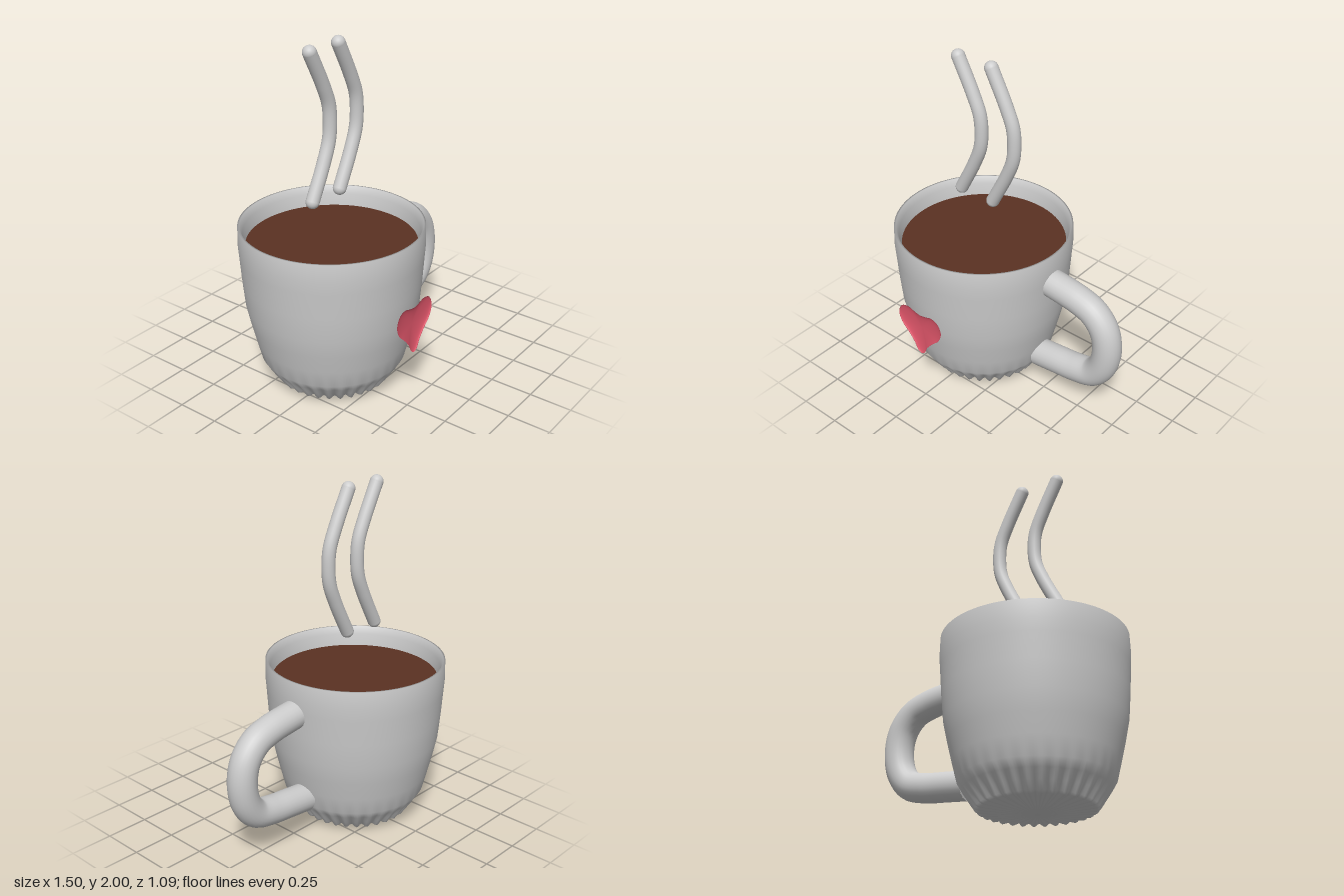
import * as THREE from 'three';
import { mergeVertices } from 'three/addons/utils/BufferGeometryUtils.js';

const CX = -0.235, CZ = -0.03;
const v2 = (p) => new THREE.Vector2(...p);

function addMesh(parent, name, geometry, color = 0xcccccc) {
  const mesh = new THREE.Mesh(geometry, new THREE.MeshStandardMaterial({ color }));
  mesh.name = name;
  parent.add(mesh);
  return mesh;
}

// Merge seams and recompute so the surface shades smoothly
function smooth(geometry) {
  geometry.deleteAttribute('normal');
  geometry.deleteAttribute('uv');
  const merged = mergeVertices(geometry, 1e-5);
  merged.computeVertexNormals();
  return merged;
}

// Cup wall with shallow flutes around the foot
function cupGeometry() {
  const profile = [
    [0, 0.005], [0.16, 0.014], [0.305, 0.026], [0.322, 0.036], [0.355, 0.085], [0.388, 0.135],
    [0.414, 0.18], [0.44, 0.285], [0.466, 0.395], [0.489, 0.505], [0.502, 0.65], [0.512, 0.8],
    [0.517, 0.87], [0.514, 0.975], [0.503, 0.975], [0.488, 0.93], [0.476, 0.86], [0.47, 0.8],
  ].map(v2);
  const geo = new THREE.LatheGeometry(profile, 192);
  const pos = geo.attributes.position;
  for (let i = 0; i < pos.count; i++) {
    const x = pos.getX(i), y = pos.getY(i), z = pos.getZ(i);
    const r = Math.hypot(x, z);
    if (y > 0.17 || r < 0.01) continue;
    const wave = 0.5 - 0.5 * Math.cos(32 * Math.atan2(x, z));
    const depth = 0.02 * Math.min(1, (0.18 - y) / 0.08) * Math.min(1, r / 0.3);
    const k = 1 - (depth * wave) / r;
    pos.setXYZ(i, x * k, y + (y < 0.05 ? 0.012 * wave * r / 0.3 : 0), z * k);
  }
  return smooth(geo);
}

// Tube through points in the XY plane, with rounded or flat ends
function addTube(parent, name, points, radius, round) {
  const curve = new THREE.CatmullRomCurve3(points.map(([x, y]) => new THREE.Vector3(x, y, CZ)), false, 'centripetal');
  const group = new THREE.Group();
  group.name = name;
  parent.add(group);
  addMesh(group, name + 'Body', new THREE.TubeGeometry(curve, 64, radius, 24));
  for (const t of [0, 1]) {
    const cap = addMesh(group, name + 'End',
      round ? new THREE.SphereGeometry(radius, 24, 16) : new THREE.CircleGeometry(radius, 24));
    cap.position.copy(curve.getPointAt(t));
    const outward = curve.getTangentAt(t).multiplyScalar(t ? 1 : -1);
    cap.quaternion.setFromUnitVectors(new THREE.Vector3(0, 0, 1), outward);
  }
}

// Puffy heart: shrinking copies of the outline, domed to both sides
function heartGeometry() {
  const half = [
    [0.045, 0.108], [0.09, 0.12], [0.135, 0.105], [0.161, 0.05], [0.143, -0.01],
    [0.085, -0.07], [0.045, -0.12], [0.023, -0.163],
  ];
  const mirrored = half.map(([x, y]) => [-x, y]).reverse();
  const outline = new THREE.CatmullRomCurve3(
    [[0, 0.1], ...half, [0, -0.176], ...mirrored].map(([x, y]) => new THREE.Vector3(x, y, 0)), true);
  const N = 72, RINGS = 24, verts = [], index = [];
  const edge = outline.getPoints(N);
  for (let j = 0; j <= RINGS; j++) {
    const a = (j / RINGS) * Math.PI;
    for (let i = 0; i < N; i++) {
      verts.push(edge[i].x * Math.sin(a), edge[i].y * Math.sin(a), 0.018 * Math.cos(a));
      if (j === RINGS) continue;
      const p = j * N + i, q = j * N + (i + 1) % N;
      index.push(p, q, p + N, q, q + N, p + N);
    }
  }
  // The outline runs clockwise, so flip each face to point outward
  for (let k = 0; k < index.length; k += 3) [index[k], index[k + 1]] = [index[k + 1], index[k]];
  const geo = new THREE.BufferGeometry();
  geo.setAttribute('position', new THREE.Float32BufferAttribute(verts, 3));
  geo.setIndex(index);
  const merged = mergeVertices(geo, 1e-5);
  merged.computeVertexNormals();
  return merged;
}

export function createModel() {
  const model = new THREE.Group();
  model.name = 'steamingMug';

  const cup = addMesh(model, 'cup', cupGeometry());
  cup.material.side = THREE.DoubleSide;
  cup.position.set(CX, 0, CZ);

  // Drink surface
  const coffee = addMesh(model, 'coffee', new THREE.CircleGeometry(0.476, 96), 0x5a3222);
  coffee.rotation.x = -Math.PI / 2;
  coffee.position.set(CX, 0.86, CZ);

  // Handle
  addTube(model, 'handle', [
    [0.235, 0.782], [0.33, 0.772], [0.46, 0.752], [0.56, 0.715], [0.635, 0.63], [0.662, 0.51],
    [0.64, 0.38], [0.575, 0.295], [0.46, 0.262], [0.33, 0.247], [0.19, 0.232],
  ], 0.083, false);

  // Two steam wisps
  for (const dx of [0, 0.232]) {
    addTube(model, 'steam', [
      [-0.395, 1.15], [-0.295, 1.345], [-0.25, 1.46], [-0.24, 1.56],
      [-0.25, 1.66], [-0.295, 1.77], [-0.395, 1.963],
    ].map(([x, y]) => [x + dx, y]), 0.038, true);
  }

  // Heart in front of the cup
  const heart = addMesh(model, 'heart', heartGeometry(), 0xe0566a);
  heart.position.set(CX, 0.53, 0.527);

  return model;
}
